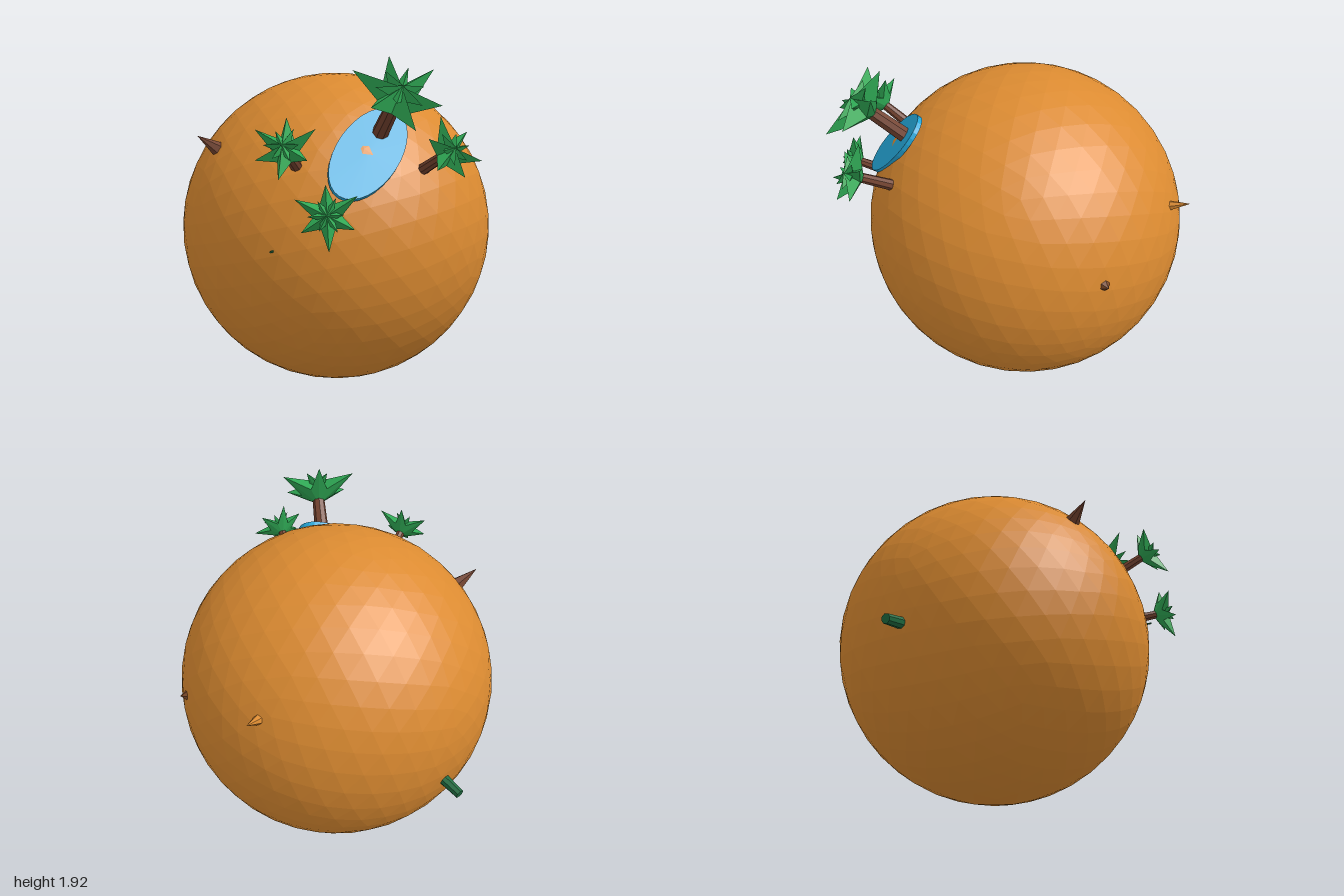
import * as THREE from 'three';

const CENTER = new THREE.Vector3(0, 0.912, -0.07);
const RADIUS = 0.91;
const UP = new THREE.Vector3(0, 1, 0);

function paint(name, color) {
  const material = new THREE.MeshStandardMaterial({ color });
  material.name = name;
  return material;
}

// Faceted copy of a geometry
function facet(geometry) {
  const flat = geometry.index ? geometry.toNonIndexed() : geometry;
  flat.computeVertexNormals();
  return flat;
}

function part(name, geometry, material, y = 0) {
  const mesh = new THREE.Mesh(facet(geometry), material);
  mesh.name = name;
  mesh.position.y = y;
  return mesh;
}

// Group standing upright on the planet, with its origin at the given height
function standing(name, direction, height, spin = 0) {
  const dir = new THREE.Vector3(...direction).normalize();
  const group = new THREE.Group();
  group.name = name;
  group.position.copy(CENTER).addScaledVector(dir, height);
  group.quaternion.setFromUnitVectors(UP, dir);
  group.rotateY(spin);
  return group;
}

// Six-pointed crown with ridged leaves
function starGeometry(radius, points = 6) {
  const count = points * 2;
  const positions = [0, radius * 0.25, 0, 0, -radius * 0.4, 0];
  const index = [];
  for (let i = 0; i < count; i++) {
    const a = (i / count) * Math.PI * 2;
    const tip = i % 2 === 0;
    const reach = tip ? radius * (i % 4 ? 0.9 : 1.05) : radius * 0.42;
    positions.push(Math.sin(a) * reach, radius * (tip ? 0.18 : -0.14), Math.cos(a) * reach);
    const p = 2 + i, q = 2 + ((i + 1) % count);
    index.push(0, p, q, 1, q, p);
  }
  const geometry = new THREE.BufferGeometry();
  geometry.setAttribute('position', new THREE.Float32BufferAttribute(positions, 3));
  geometry.setIndex(index);
  return geometry;
}

export function createModel() {
  const sand = paint('sand', 0xdc8b31);
  const water = paint('water', 0x25a8da);
  const leaf = paint('leaf green', 0x2ea653);
  const bark = paint('bark', 0x74432f);
  const cactusGreen = paint('cactus green', 0x1f6b40);
  const rock = paint('rock brown', 0x7a4828);

  const model = new THREE.Group();
  model.name = 'desertPlanet';

  // Planet, turned so one corner pokes through the pond
  const planet = part('planet', new THREE.IcosahedronGeometry(RADIUS, 7), sand);
  planet.position.copy(CENTER);
  planet.quaternion.setFromUnitVectors(
    new THREE.Vector3(0, 1, (1 + Math.sqrt(5)) / 2).normalize(),
    new THREE.Vector3(0.45, 0.56, 0.57).normalize()
  );
  model.add(planet);

  // Oval pond lying against the planet
  const normal = new THREE.Vector3(0.47, 0.54, 0.56).normalize();
  const side = new THREE.Vector3().crossVectors(normal, new THREE.Vector3(0.18, 0.65, -0.74)).normalize();
  const along = new THREE.Vector3().crossVectors(side, normal);
  const pond = part('pond', new THREE.CylinderGeometry(1, 1, 0.026, 32), water);
  pond.position.copy(CENTER).addScaledVector(normal, 0.895);
  pond.quaternion.setFromRotationMatrix(new THREE.Matrix4().makeBasis(side, normal, along));
  pond.scale.set(0.16, 1, 0.3);
  model.add(pond);

  // Palm trees: direction, crown height, crown radius, spin
  const trees = [
    [[0.64, 0.83, 0.6], 1.2, 0.235, 0.82],
    [[0.2, 0.585, 0.93], 1.11, 0.165, 0.25],
    [[0.44, 0.285, 0.95], 1.08, 0.16, 0.5],
    [[0.87, 0.56, 0.48], 1.13, 0.165, 0.1],
  ];
  for (const [direction, height, size, spin] of trees) {
    const tree = standing('palmTree', direction, height, spin);
    const length = height - 0.87;
    tree.add(part('trunk', new THREE.CylinderGeometry(size * 0.15, size * 0.19, length, 8), bark, -length / 2));
    tree.add(part('crown', starGeometry(size), leaf));
    const top = part('upperCrown', starGeometry(size * 0.55), leaf, size * 0.16);
    top.rotation.y = Math.PI / 6;
    tree.add(top);
    model.add(tree);
  }

  // Rock spikes: name, direction, base radius, height above ground, material
  const spikes = [
    ['tallRock', [-0.41, 0.52, 0.635], 0.045, 0.13, bark],
    ['sandSpike', [-0.19, 0.335, -0.89], 0.031, 0.105, sand],
    ['lowRock', [0.43, 0.145, -0.8], 0.042, 0.03, rock],
  ];
  for (const [name, direction, radius, height, material] of spikes) {
    const spike = standing(name, direction, RADIUS, 0.4);
    const full = height + 0.02;
    spike.add(part('cone', new THREE.ConeGeometry(radius, full, 6), material, full / 2 - 0.02));
    model.add(spike);
  }

  // Cactus stump and a tiny sprout
  const cactus = standing('cactus', [-0.98, -0.215, -0.17], RADIUS);
  cactus.add(part('stem', new THREE.CylinderGeometry(0.027, 0.032, 0.14, 8), cactusGreen, 0.04));
  model.add(cactus);
  const sprout = standing('sprout', [0.11, 0.065, 0.92], RADIUS);
  sprout.add(part('stem', new THREE.CylinderGeometry(0.005, 0.007, 0.04, 6), cactusGreen, 0.003));
  model.add(sprout);

  return model;
}
